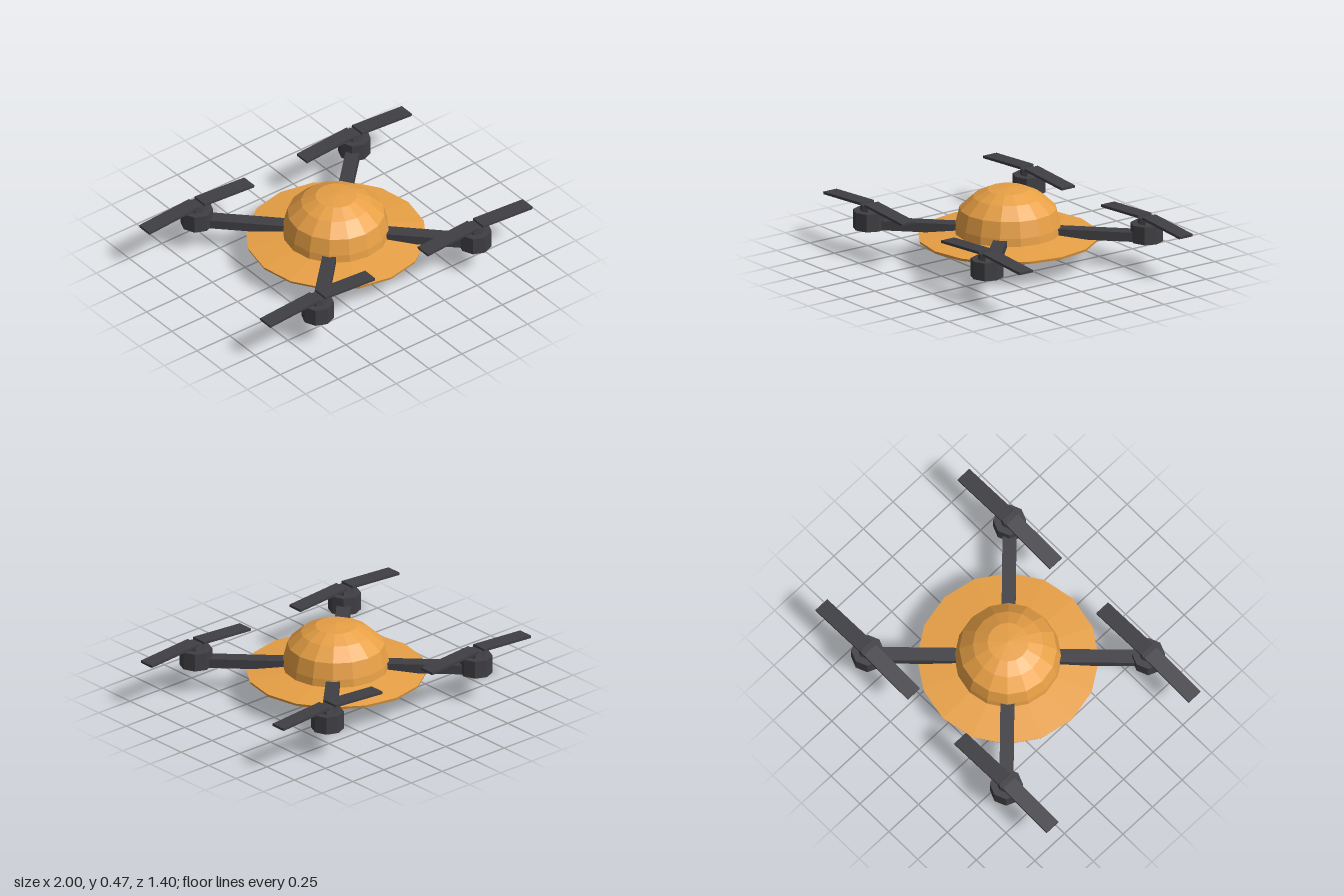
import * as THREE from 'three';

const orange = new THREE.MeshStandardMaterial({ color: 0xe8a045, flatShading: true });
const dark = new THREE.MeshStandardMaterial({ color: 0x3f3f44, flatShading: true });

function add(parent, name, geometry, material, x = 0, y = 0, z = 0) {
  const mesh = new THREE.Mesh(geometry, material);
  mesh.name = name;
  mesh.position.set(x, y, z);
  parent.add(mesh);
  return mesh;
}

// Sixteen-sided lathe; profile runs from the bottom up
function lathe(points) {
  return new THREE.LatheGeometry(points.map(([r, y]) => new THREE.Vector2(r, y)), 16);
}

// Motor with hub and two drooping blades, built around its own axis
function rotor() {
  const group = new THREE.Group();
  add(group, 'motor', new THREE.CylinderGeometry(0.1, 0.1, 0.112, 8), dark, 0, 0.228, 0);
  add(group, 'hub', new THREE.CylinderGeometry(0.05, 0.057, 0.036, 8), dark, 0, 0.302, 0);
  for (const side of [-1, 1]) {
    const blade = add(group, 'blade', new THREE.BoxGeometry(0.38, 0.016, 0.1), dark, side * 0.21, 0.312, 0);
    blade.rotation.z = -side * 0.07;
  }
  return group;
}

export function createModel() {
  const model = new THREE.Group();
  model.name = 'drone';

  // Saucer body with a shallow bowl underneath
  add(model, 'brim', lathe([
    [0, 0.125], [0.21, 0.129], [0.42, 0.14], [0.545, 0.15],
    [0.55, 0.167], [0.32, 0.192], [0, 0.195],
  ]), orange);

  // Domed crown
  add(model, 'crown', lathe([
    [0.325, 0.185], [0.32, 0.24], [0.295, 0.34], [0.213, 0.416], [0.125, 0.459], [0, 0.47],
  ]), orange);

  // Pod hanging below the body
  add(model, 'pod', new THREE.CylinderGeometry(0.097, 0.123, 0.11, 10), dark, 0, 0.055, 0);

  // Four diagonal arms with a rotor at each end
  for (const sx of [-1, 1]) {
    for (const sz of [-1, 1]) {
      const arm = add(model, 'arm', new THREE.BoxGeometry(0.7, 0.058, 0.085), dark, sx * 0.35, 0.201, sz * 0.35);
      arm.rotation.y = -sx * sz * Math.PI / 4;
      const unit = rotor();
      unit.name = 'rotor';
      unit.position.set(sx * 0.6, 0, sz * 0.6);
      model.add(unit);
    }
  }
  return model;
}
